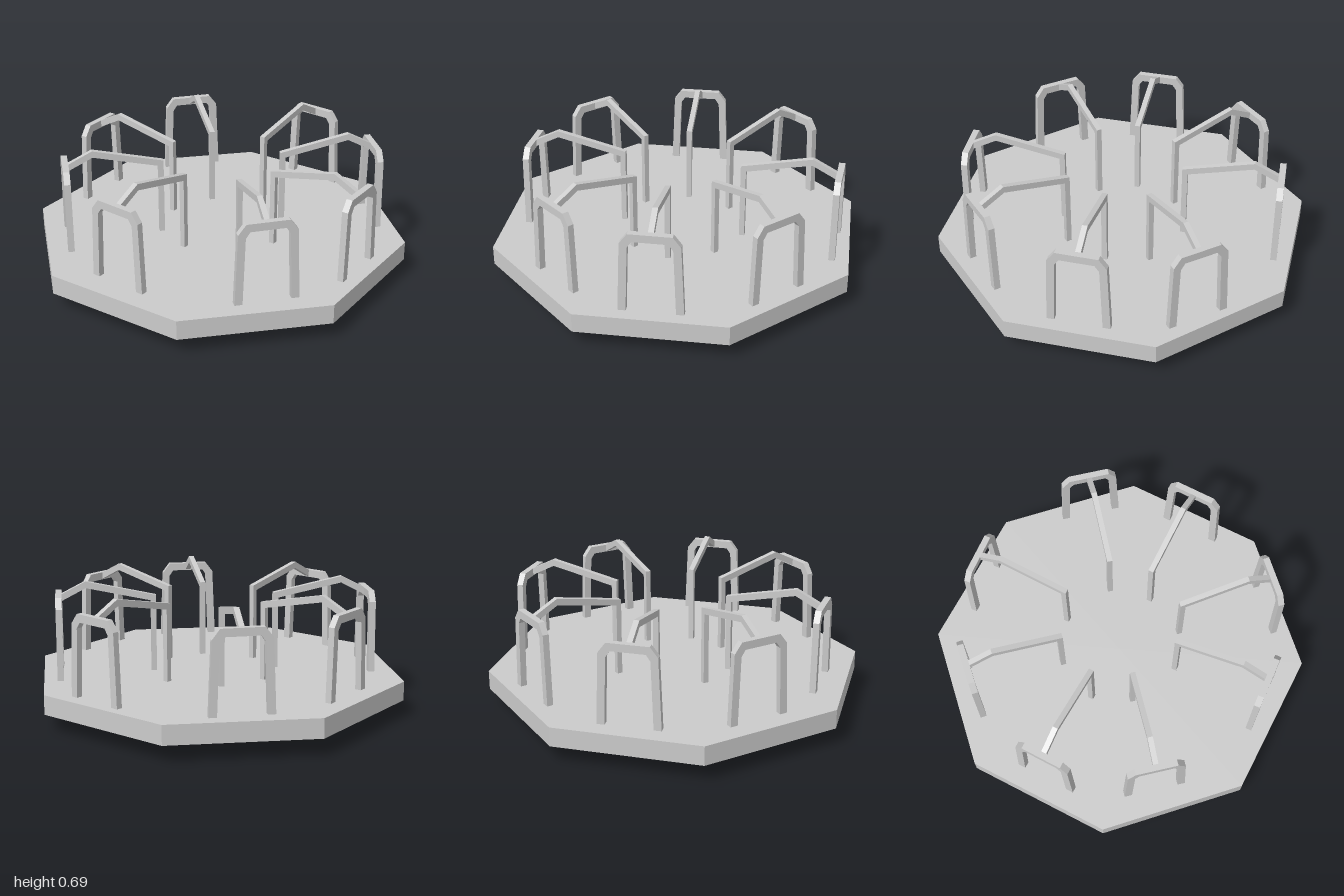
import * as THREE from 'three';

const grey = new THREE.MeshStandardMaterial({ color: 0xcccccc, flatShading: true });

function part(name, geometry) {
  const mesh = new THREE.Mesh(geometry, grey);
  mesh.name = name;
  return mesh;
}

// Flat outline extruded symmetrically about its own plane
function plate(points, depth) {
  const shape = new THREE.Shape(points.map(([x, y]) => new THREE.Vector2(x, y)));
  const geometry = new THREE.ExtrudeGeometry(shape, { depth, bevelEnabled: false });
  return geometry.translate(0, 0, -depth / 2);
}

const DECK_BOTTOM = 0.093;
const DECK_TOP = 0.195;

// Hoop half outlines, mirrored to give the whole arch
const outer = [[0.163, 0.19], [0.148, 0.57], [0.108, 0.623]];
const inner = [[0.123, 0.19], [0.11, 0.55], [0.088, 0.582]];
const mirrored = (half) => half.map(([x, y]) => [-x, y]).reverse();
const hoopGeometry = plate(
  [...outer, ...mirrored(outer), ...inner.map(([x, y]) => [-x, y]), ...mirrored(inner).map(([x, y]) => [-x, y]).map(([x, y]) => [-x, y]).map(([x, y]) => [-x, y])],
  0.033
);

// Inner post and its bent top rail, drawn in the radial plane
const railGeometry = plate([
  [0.51, 0.19], [0.51, 0.606], [0.14, 0.687], [0, 0.615],
  [0, 0.578], [0.142, 0.652], [0.482, 0.578], [0.482, 0.19],
], 0.028).rotateY(Math.PI / 2);

// Hoop centre x, z and outward heading in degrees from +x towards +z
const handles = [
  [0.765, 0.34, 23], [0.315, 0.778, 68], [-0.243, 0.78, 109], [-0.752, 0.248, 162],
  [-0.74, -0.318, 203], [-0.298, -0.755, 247], [0.312, -0.768, 289], [0.82, -0.235, 342],
];

export function createModel() {
  const model = new THREE.Group();
  model.name = 'merryGoRound';

  // Octagonal deck with corners on the axes
  const deck = part('deck', new THREE.CylinderGeometry(1, 1, DECK_TOP - DECK_BOTTOM, 8));
  deck.position.y = (DECK_TOP + DECK_BOTTOM) / 2;

  // Square pivot block under the deck
  const pivot = part('pivotBlock', new THREE.BoxGeometry(0.317, DECK_BOTTOM, 0.317));
  pivot.position.y = DECK_BOTTOM / 2;
  model.add(deck, pivot);

  // Ring of handles
  handles.forEach(([x, z, heading], i) => {
    const handle = new THREE.Group();
    handle.name = `handle${i + 1}`;
    handle.add(part('hoop', hoopGeometry), part('railAndPost', railGeometry));
    handle.position.set(x, 0, z);
    handle.rotation.y = Math.PI / 2 - THREE.MathUtils.degToRad(heading);
    model.add(handle);
  });
  return model;
}
